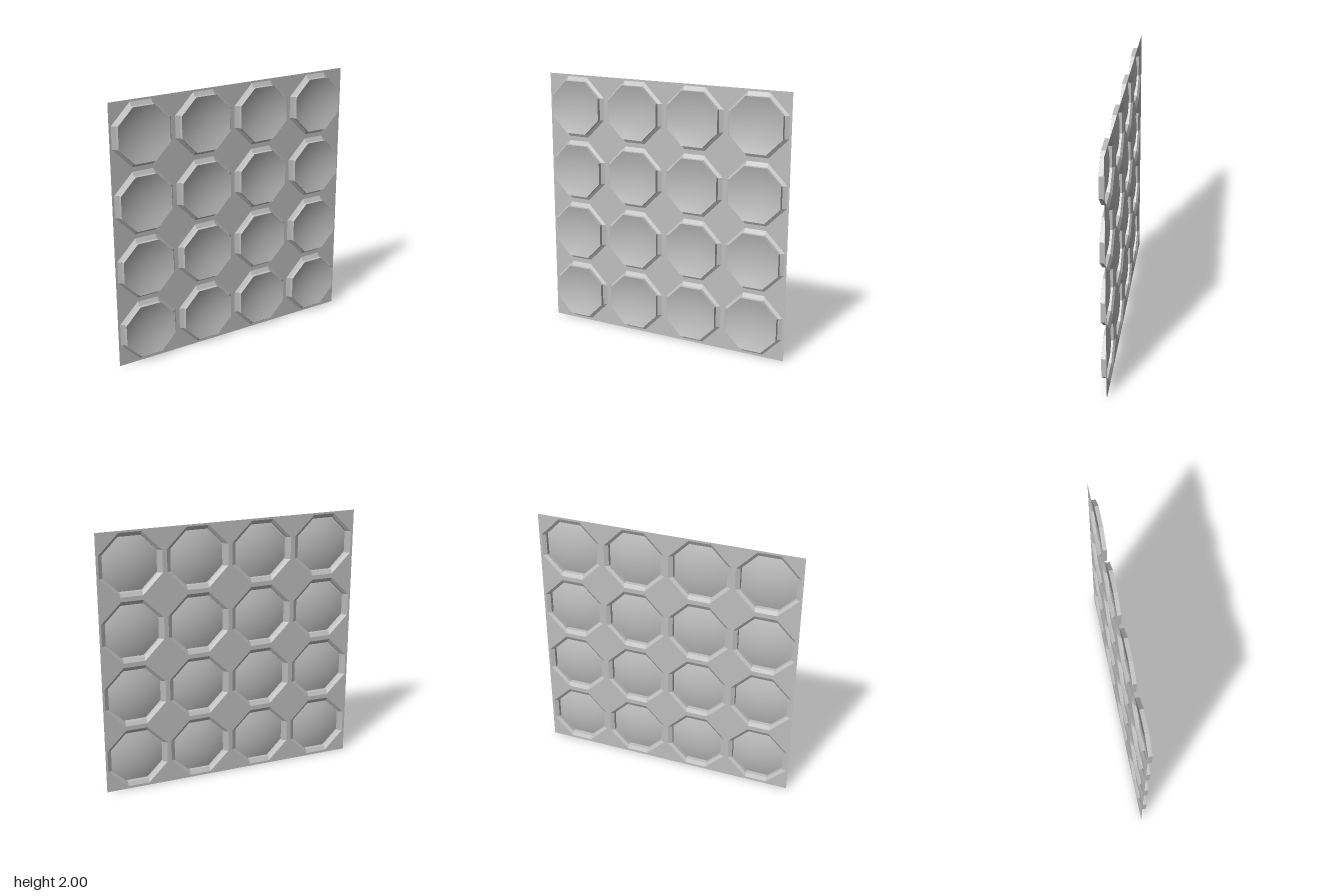
import * as THREE from 'three';

const Z_BACK = -0.0225, Z_MID = -0.007, Z_FRONT = 0.0225;
const SIDE = 0.083;      // half length of an octagon's straight side
const INNER = 0.203;     // centre to side of the cup
const OUTER = 0.233;     // centre to side of the flared collar
const DISH_DEPTH = 0.034;

// Counter-clockwise octagon with flat top, bottom and sides
const octagon = (a, s) => [
  [a, -s], [a, s], [s, a], [-s, a], [-a, s], [-a, -s], [-s, -a], [s, -a],
].map(([x, y]) => new THREE.Vector2(x, y));

// Flat-faced strip joining a back loop to a front loop
function band(back, zBack, front, zFront) {
  const pos = [];
  back.forEach((p, i) => {
    const j = (i + 1) % back.length;
    const a = [p.x, p.y, zBack], b = [back[j].x, back[j].y, zBack];
    const c = [front[j].x, front[j].y, zFront], d = [front[i].x, front[i].y, zFront];
    pos.push(...a, ...b, ...c, ...a, ...c, ...d);
  });
  const g = new THREE.BufferGeometry();
  g.setAttribute('position', new THREE.Float32BufferAttribute(pos, 3));
  g.computeVertexNormals();
  return g;
}

// Shallow smooth dish with an octagonal rim, hollow towards the front
function dishGeometry() {
  const R = INNER / Math.cos(Math.PI / 8), steps = 10, profile = [];
  for (let i = 0; i <= steps; i++) {
    const t = i / steps;
    profile.push(new THREE.Vector2(R * t, Z_FRONT - DISH_DEPTH * (1 - t * t)));
  }
  return new THREE.LatheGeometry(profile, 8, Math.PI / 8).rotateX(Math.PI / 2);
}

export function createModel() {
  const model = new THREE.Group();
  model.name = 'cupPanel';
  const grey = new THREE.MeshStandardMaterial({ color: 0xbfbfbf, side: THREE.DoubleSide });
  grey.name = 'lightGrey';

  const inner = octagon(INNER, SIDE), outer = octagon(OUTER, SIDE);
  const parts = {
    collar: band(outer, Z_BACK, inner, Z_MID),
    wall: band(inner, Z_MID, inner, Z_FRONT),
    dish: dishGeometry(),
  };

  // Thin square sheet
  const sheet = new THREE.Shape([[-1, 0], [1, 0], [1, 2], [-1, 2]].map(([x, y]) => new THREE.Vector2(x, y)));

  // Four by four cups, each over an opening in the sheet
  for (let row = 0; row < 4; row++) {
    for (let col = 0; col < 4; col++) {
      const x = -0.75 + 0.5 * col, y = 0.252 + 0.5 * row;
      sheet.holes.push(new THREE.Path(outer.map((p) => new THREE.Vector2(p.x + x, p.y + y))));
      const cup = new THREE.Group();
      cup.name = 'cup';
      for (const [name, geometry] of Object.entries(parts)) {
        const mesh = new THREE.Mesh(geometry, grey);
        mesh.name = name;
        cup.add(mesh);
      }
      cup.position.set(x, y, 0);
      model.add(cup);
    }
  }

  const plate = new THREE.Mesh(new THREE.ShapeGeometry(sheet), grey);
  plate.name = 'sheet';
  plate.position.z = Z_BACK;
  model.add(plate);
  return model;
}
